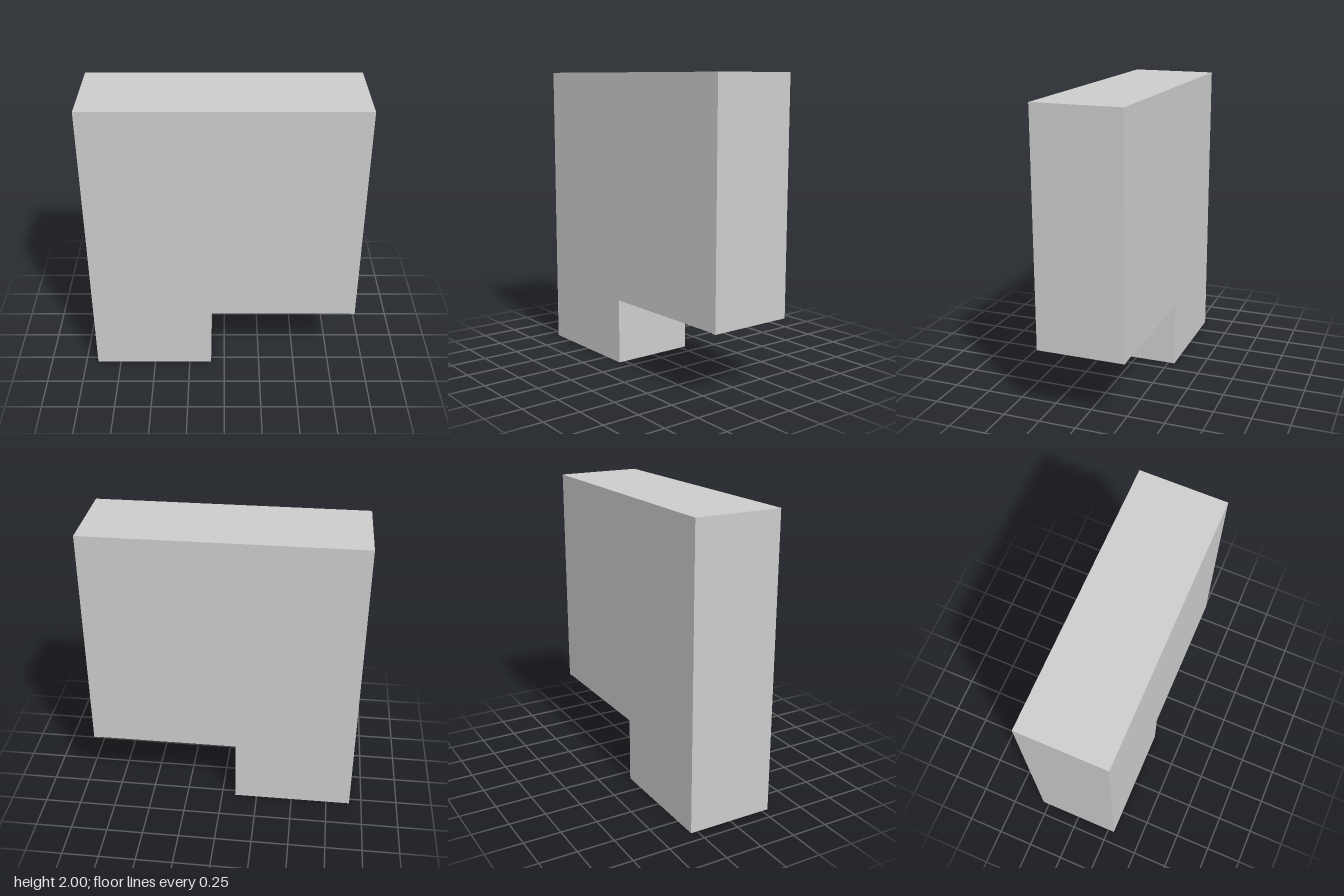
import * as THREE from 'three';

const DEPTH = 0.59;

export function createModel() {
  const model = new THREE.Group();
  model.name = 'floorPlanBlock';
  const solid = new THREE.MeshStandardMaterial({ color: 0xcccccc, flatShading: true });
  const thin = new THREE.MeshStandardMaterial({ color: 0xcccccc, flatShading: true, side: THREE.DoubleSide });

  // L-shaped outer block with a small step at the far end of its lower edge
  const outline = [
    [-0.915, 0], [-0.095, 0], [-0.095, 0.447], [0.88, 0.447],
    [0.88, 0.443], [0.912, 0.443], [0.912, 2], [-0.915, 2],
  ];
  const shape = new THREE.Shape(outline.map(([x, y]) => new THREE.Vector2(x, y)));
  const blockGeometry = new THREE.ExtrudeGeometry(shape, { depth: DEPTH, bevelEnabled: false });
  blockGeometry.translate(0, 0, -DEPTH / 2);
  const block = new THREE.Mesh(blockGeometry, solid);
  block.name = 'outerBlock';
  model.add(block);

  // Thin partition walls through the full depth, with gaps for doorways: x1, y1, x2, y2
  const walls = [
    [-0.278, 2, -0.278, 1.39], [-0.278, 1.3, -0.278, 1.205],
    [-0.118, 2, -0.118, 1.92], [-0.118, 1.75, -0.118, 1.205],
    [-0.278, 1.71, -0.118, 1.71],
    [-0.915, 1.205, -0.453, 1.205], [-0.341, 1.205, -0.118, 1.205],
    [-0.56, 1.205, -0.56, 1.107], [-0.56, 1.027, -0.56, 0.7],
    [-0.915, 0.7, -0.56, 0.7],
    [-0.56, 0.918, -0.095, 0.918],
    [-0.286, 0.918, -0.286, 0.848], [-0.286, 0.77, -0.286, 0.7],
    [-0.286, 0.7, -0.095, 0.7],
    [-0.095, 0.918, -0.095, 0.447],
  ];
  const partitions = new THREE.Group();
  partitions.name = 'partitionWalls';
  for (const [x1, y1, x2, y2] of walls) {
    const geometry = new THREE.PlaneGeometry(Math.hypot(x2 - x1, y2 - y1), DEPTH);
    geometry.rotateX(-Math.PI / 2);
    const wall = new THREE.Mesh(geometry, thin);
    wall.name = 'partitionWall';
    wall.rotation.z = Math.atan2(y2 - y1, x2 - x1);
    wall.position.set((x1 + x2) / 2, (y1 + y2) / 2, 0);
    partitions.add(wall);
  }
  model.add(partitions);

  return model;
}
